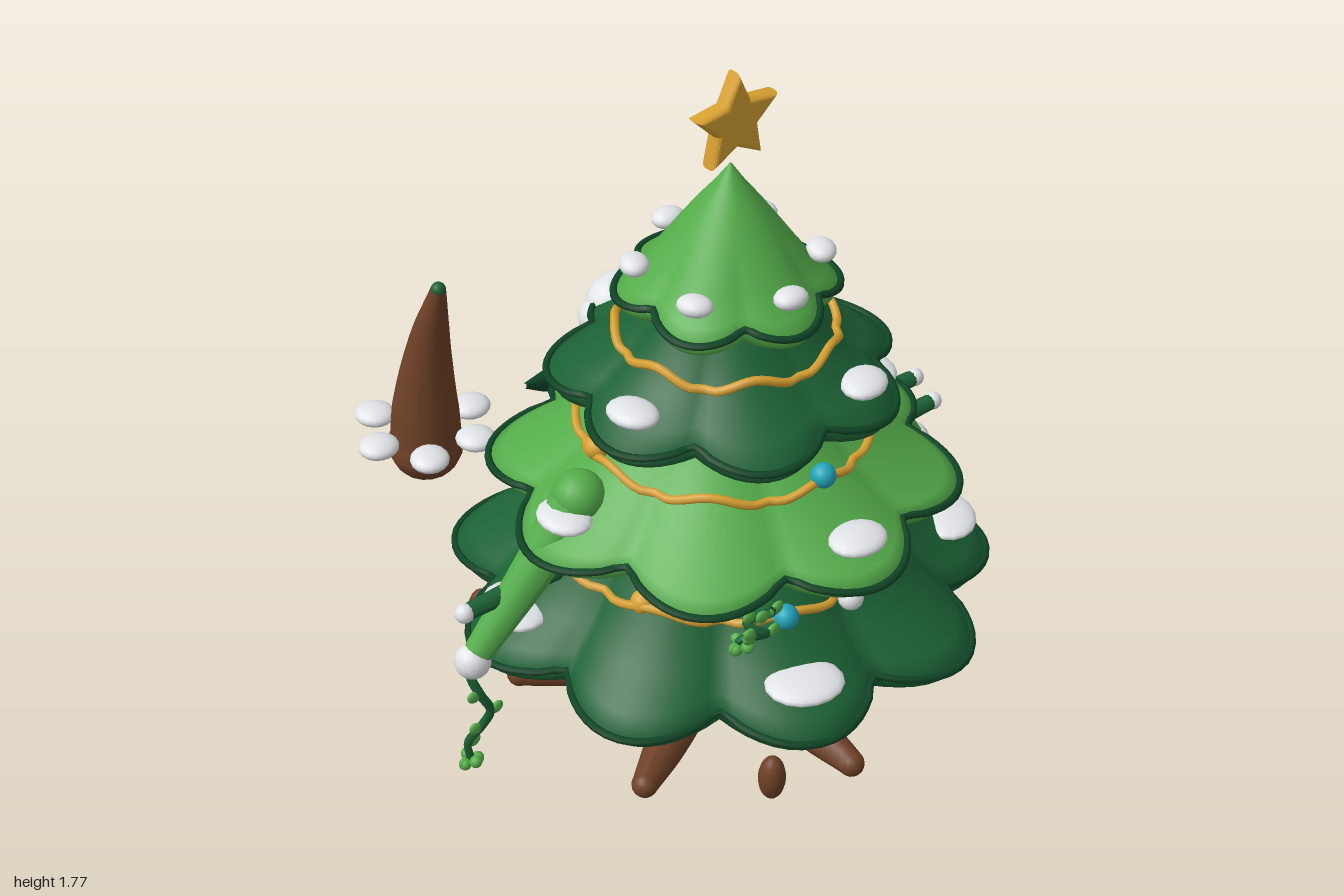
import * as THREE from 'three';

const CX = -0.022, CZ = 0.385, TAU = Math.PI * 2;

function material(name, color, side = THREE.FrontSide) {
  const m = new THREE.MeshStandardMaterial({ color, side });
  m.name = name;
  return m;
}

export function createModel() {
  const root = new THREE.Group();
  root.name = 'festiveTree';
  const dark = material('dark green', 0x1c6236, THREE.DoubleSide);
  const light = material('light green', 0x55ad4b, THREE.DoubleSide);
  const trim = material('deep green trim', 0x0f4526);
  const bark = material('brown bark', 0x6f4127);
  const snow = material('snow white', 0xe4e7ea);
  const gold = material('gold', 0xd9a232);
  const blue = material('turquoise', 0x22a5bb);

  const V = (x, y, z) => new THREE.Vector3(x, y, z);
  const rad = (deg) => deg * Math.PI / 180;
  const polar = (deg, r, y) => V(CX + Math.cos(rad(deg)) * r, y, CZ + Math.sin(rad(deg)) * r);

  function add(name, geo, mat, p = V(0, 0, 0)) {
    const m = new THREE.Mesh(geo, mat);
    m.name = name;
    m.position.copy(p);
    root.add(m);
    return m;
  }
  const ball = (name, mat, p, rx, ry = rx, rz = rx) => {
    const m = add(name, new THREE.SphereGeometry(1, 16, 12), mat, p);
    m.scale.set(rx, ry, rz);
    return m;
  };

  // Tube whose radius follows a list of values along its length
  function taper(name, mat, points, radii, n = 24, sides = 12) {
    const curve = new THREE.CatmullRomCurve3(points);
    const geo = new THREE.TubeGeometry(curve, n, 1, sides, false);
    const pos = geo.attributes.position, v = V(0, 0, 0);
    for (let i = 0; i <= n; i++) {
      const c = curve.getPointAt(i / n);
      const f = (i / n) * (radii.length - 1), k = Math.min(Math.floor(f), radii.length - 2);
      const r = THREE.MathUtils.lerp(radii[k], radii[k + 1], f - k);
      for (let j = 0; j <= sides; j++) {
        const id = i * (sides + 1) + j;
        v.fromBufferAttribute(pos, id).sub(c).multiplyScalar(r).add(c);
        pos.setXYZ(id, v.x, v.y, v.z);
      }
    }
    geo.computeVertexNormals();
    return add(name, geo, mat);
  }

  // Scalloped foliage: lobes deepen towards the rim, one lobe points to the back
  function surface(t, a, r, y, grow = 0) {
    const k = Math.pow(r / t.R, 1.4);
    const c = Math.abs(Math.cos(t.n * (a + Math.PI / 2) / 2));
    const rr = r * (1 - 0.17 * k * (1 - c)) + grow;
    return V(CX + Math.cos(a) * rr, y + 0.022 * k * (0.6 - c), CZ + Math.sin(a) * rr);
  }
  const tiers = [
    { n: 9, R: 0.62, rimY: 0.5, mat: dark, garland: [0.415, 0.672], snowFrom: 1, snowStep: 2, snowAt: [0.52, 0.577, 0.08],
      profile: [[0.28, 0.88], [0.36, 0.76], [0.43, 0.655], [0.5, 0.59], [0.58, 0.535], [0.62, 0.5], [0.6, 0.468], [0.52, 0.445], [0.15, 0.45]] },
    { n: 8, R: 0.525, rimY: 0.785, mat: light, garland: [0.325, 0.922], snowFrom: 0, snowStep: 2, snowAt: [0.44, 0.847, 0.062],
      profile: [[0.2, 1.06], [0.26, 0.98], [0.33, 0.91], [0.42, 0.845], [0.49, 0.805], [0.525, 0.785], [0.5, 0.755], [0.42, 0.735], [0.2, 0.74]] },
    { n: 7, R: 0.388, rimY: 1.05, mat: dark, garland: [0.24, 1.16], snowFrom: 1, snowStep: 2, snowAt: [0.32, 1.103, 0.055],
      profile: [[0.14, 1.3], [0.2, 1.2], [0.26, 1.13], [0.33, 1.08], [0.388, 1.05], [0.37, 1.015], [0.3, 0.99], [0.1, 1]] },
    { n: 6, R: 0.243, rimY: 1.265, mat: light, snowFrom: 0, snowStep: 1, snowAt: [0.2, 1.328, 0.036],
      profile: [[0, 1.56], [0.035, 1.51], [0.075, 1.46], [0.12, 1.4], [0.165, 1.34], [0.21, 1.285], [0.243, 1.265], [0.23, 1.235], [0.18, 1.21], [0.05, 1.22]] },
  ];
  for (const t of tiers) {
    const seg = t.n * 14, pos = [], index = [];
    t.profile.forEach(([r, y], i) => {
      for (let j = 0; j < seg; j++) {
        pos.push(...surface(t, (j / seg) * TAU - Math.PI / 2, r, y).toArray());
        if (!i) continue;
        const a = (i - 1) * seg + j, b = (i - 1) * seg + (j + 1) % seg;
        index.push(a, b, a + seg, b, b + seg, a + seg);
      }
    });
    const geo = new THREE.BufferGeometry();
    geo.setAttribute('position', new THREE.Float32BufferAttribute(pos, 3));
    geo.setIndex(index);
    geo.computeVertexNormals();
    add('foliageTier', geo, t.mat);

    // Closed cord that hugs the foliage
    const cord = (name, mat, r, y, wave, thick, grow) => {
      const pts = [];
      for (let j = 0; j < t.n * 8; j++) {
        const a = (j / (t.n * 8)) * TAU - Math.PI / 2;
        const w = wave * Math.cos(t.n * (a + Math.PI / 2));
        pts.push(surface(t, a, r - w * 0.5, y + w, grow));
      }
      add(name, new THREE.TubeGeometry(new THREE.CatmullRomCurve3(pts, true), t.n * 16, thick, 6, true), mat);
    };
    cord('rimTrim', trim, t.R, t.rimY, 0, 0.009, 0);
    if (t.garland) cord('garland', gold, t.garland[0], t.garland[1], 0.018, 0.01, 0.008);

    // Snow patches on the lobes
    for (let k = t.snowFrom; k < t.n + t.snowFrom; k += t.snowStep) {
      const deg = -90 + (360 / t.n) * k, [r, y, s] = t.snowAt;
      const m = ball('snowPatch', snow, polar(deg, r, y), s * 0.9, 0.022, s * 1.1);
      m.rotation.y = -rad(deg);
    }
  }

  // Star topper with a small ball behind it
  const star = new THREE.Shape();
  for (let i = 0; i < 10; i++) {
    const r = i % 2 ? 0.043 : 0.096, a = Math.PI / 2 + i * Math.PI / 5;
    star[i ? 'lineTo' : 'moveTo'](Math.cos(a) * r, Math.sin(a) * r);
  }
  add('star', new THREE.ExtrudeGeometry(star, { depth: 0.012, bevelThickness: 0.015, bevelSize: 0.012, bevelSegments: 4 }),
    gold, V(CX, 1.66, CZ - 0.002));
  ball('starBall', snow, V(CX, 1.66, CZ - 0.03), 0.024);

  // Trunk, band and six roots
  add('trunk', new THREE.CylinderGeometry(0.16, 0.17, 0.4, 32), bark, V(CX, 0.4, CZ - 0.01));
  const band = add('trunkBand', new THREE.TorusGeometry(0.165, 0.008, 6, 40), trim, V(CX, 0.39, CZ - 0.01));
  band.rotation.x = Math.PI / 2;
  for (let i = 0; i < 6; i++) {
    const d = 30 + i * 60;
    taper('root', bark, [polar(d, 0.07, 0.34), polar(d, 0.18, 0.3), polar(d, 0.32, 0.235), polar(d, 0.465, 0.222)], [0.085, 0.075, 0.05, 0.03]);
    ball('rootTip', bark, polar(d, 0.465, 0.222), 0.03);
  }

  // Arms with white hands and small side branches
  for (const s of [1, -1]) {
    const X = (x) => CX + s * x;
    ball('shoulder', light, V(X(0.39), 0.87, 0.37), 0.06);
    taper('arm', light, [V(X(0.39), 0.87, 0.37), V(X(0.52), 0.69, 0.35), V(X(0.645), 0.53, 0.33)], [0.056, 0.046, 0.032]);
    ball('hand', snow, V(X(0.652), 0.52, 0.33), 0.041);
  }
  for (const [x0, x1, y, z] of [[0.42, 0.69, 0.605, 0.33], [0.4, 0.58, 0.745, 0.37], [-0.42, -0.69, 0.662, 0.33]]) {
    taper('branch', dark, [V(x0, y, z), V(x1, y, z)], [0.027, 0.019], 4, 10);
    ball('branchTip', snow, V(x1, y, z), 0.022);
  }

  // Baubles and hanging cones
  const baubles = [
    [blue, 90, 0.325, 0.945], [gold, -10, 0.315, 0.94], [gold, 190, 0.315, 0.94], [gold, -130, 0.33, 0.94], [blue, -50, 0.33, 0.94],
    [snow, 90, 0.43, 0.68], [blue, 111, 0.42, 0.68], [gold, 25, 0.395, 0.68], [gold, 155, 0.395, 0.68],
    [gold, 51, 0.48, 0.4], [blue, -29, 0.47, 0.4], [gold, 152, 0.47, 0.4],
  ];
  for (const [m, d, r, y] of baubles) ball('bauble', m, polar(d, r, y), 0.028);
  for (const [x, y, z] of [[-0.315, 0.4, 0.91], [0.43, 0.4, 0.05], [-0.48, 0.4, 0.085], [0.44, 0.69, 0.31], [-0.46, 0.69, 0.31]])
    ball('hangingCone', bark, V(x, y, z), 0.03, 0.056, 0.03);

  // Face on the back: eyes, snowy brow, curved mouth and a brown knot beside it
  for (const s of [1, -1]) {
    ball('eye', snow, V(CX + s * 0.115, 0.93, 0.06), 0.078);
    ball('iris', trim, V(CX + s * 0.11, 0.93, -0.005), 0.042, 0.048, 0.022);
    ball('browSnow', snow, V(CX + s * 0.055, 1.01, 0.03), 0.06, 0.05, 0.06);
  }
  ball('browSnow', snow, V(CX, 1.03, 0.02), 0.09, 0.07, 0.068);
  taper('mouth', trim, [V(CX - 0.18, 0.795, -0.11), V(CX - 0.09, 0.755, -0.14), V(CX, 0.742, -0.15), V(CX + 0.09, 0.755, -0.14), V(CX + 0.18, 0.795, -0.11)],
    [0.006, 0.026, 0.032, 0.026, 0.006]);
  ball('knot', bark, V(0.28, 0.725, 0.06), 0.06, 0.045, 0.1);

  // Wavy vines with leaves
  function vine(x, z, top, bottom) {
    const pts = [], n = 8;
    for (let i = 0; i <= n; i++)
      pts.push(V(x + 0.02 * Math.sin(i * 1.5), top + (bottom - top) * i / n, z + 0.018 * Math.cos(i * 1.3) - 0.04 * i / n));
    taper('vine', dark, pts, [0.012, 0.01], 40, 6);
    pts.forEach((p, i) => {
      const m = ball('vineLeaf', light, V(p.x + (i % 2 ? 0.018 : -0.018), p.y, p.z), 0.018, 0.015, 0.008);
      m.rotation.z = i % 2 ? 0.6 : -0.6;
    });
    for (let i = 0; i < 4; i++)
      ball('endLeaf', light, pts[n].clone().add(V(0.018 * Math.cos(i * TAU / 4), 0.01 * (i % 2), 0.018 * Math.sin(i * TAU / 4))), 0.015);
  }
  vine(-0.55, 0.19, 0.48, 0.016);
  vine(0.535, 0.19, 0.47, 0.06);
  vine(-0.25, 0.79, 0.75, 0.62);
  vine(-0.22, 0.35, 0.5, 0.4);

  // Separate tapered horn with a round base and a snow collar
  const HZ = -0.815;
  ball('hornBase', bark, V(CX, 0.135, HZ), 0.1);
  taper('horn', bark, [V(CX, 0.12, HZ), V(CX, 0.3, HZ + 0.01), V(CX, 0.48, HZ + 0.04), V(CX, 0.67, HZ + 0.093)], [0.098, 0.088, 0.068, 0.046, 0.02], 24, 20);
  ball('hornTip', dark, V(CX, 0.67, HZ + 0.093), 0.02);
  for (let i = 0; i < 6; i++) {
    const a = i * TAU / 6;
    const m = ball('collarSnow', snow, V(CX + Math.cos(a) * 0.147, 0.19, HZ + Math.sin(a) * 0.147), 0.055, 0.026, 0.052);
    m.rotation.y = -a;
  }
  return root;
}
